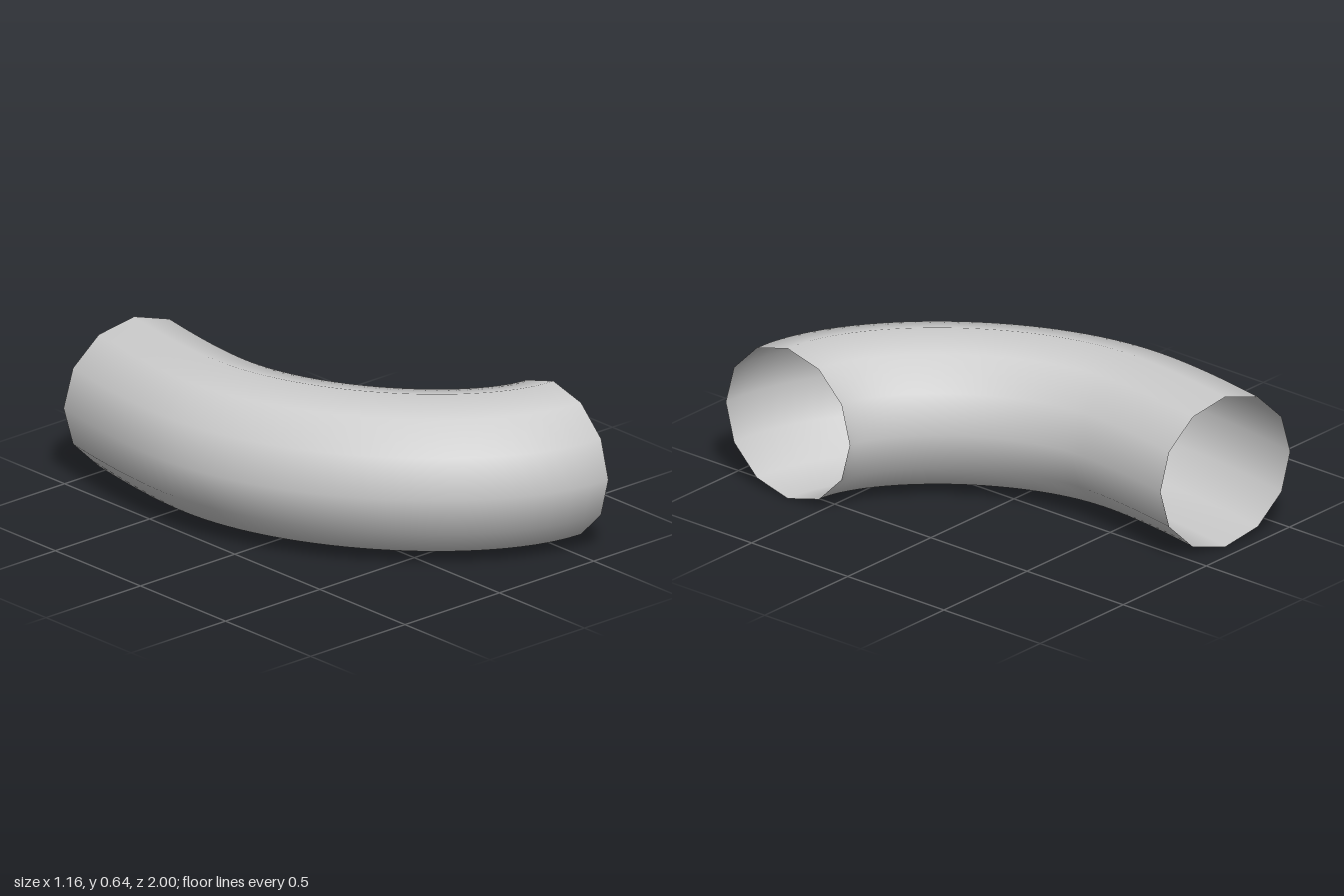
import * as THREE from 'three';

export function createModel() {
  const group = new THREE.Group();
  group.name = 'pipeElbow';

  const radius = 0.3225;
  const point = (x, z) => new THREE.Vector3(x, radius, z);

  // Centre line: a tight bend from the side opening, then a gentle run to the back
  const path = new THREE.CurvePath();
  path.add(new THREE.CubicBezierCurve3(
    point(0.58, 0.675),
    point(0.22, 0.675),
    point(-0.26, 0.15),
    point(-0.26, -0.39)
  ));
  path.add(new THREE.QuadraticBezierCurve3(
    point(-0.26, -0.39),
    point(-0.26, -0.59),
    point(-0.19, -0.935)
  ));

  // Open, thin-walled twelve-sided pipe with smooth shading
  const pipe = new THREE.Mesh(
    new THREE.TubeGeometry(path, 40, radius, 12, false),
    new THREE.MeshStandardMaterial({ color: 0xcccccc, side: THREE.DoubleSide })
  );
  pipe.name = 'bentPipe';
  group.add(pipe);

  return group;
}
